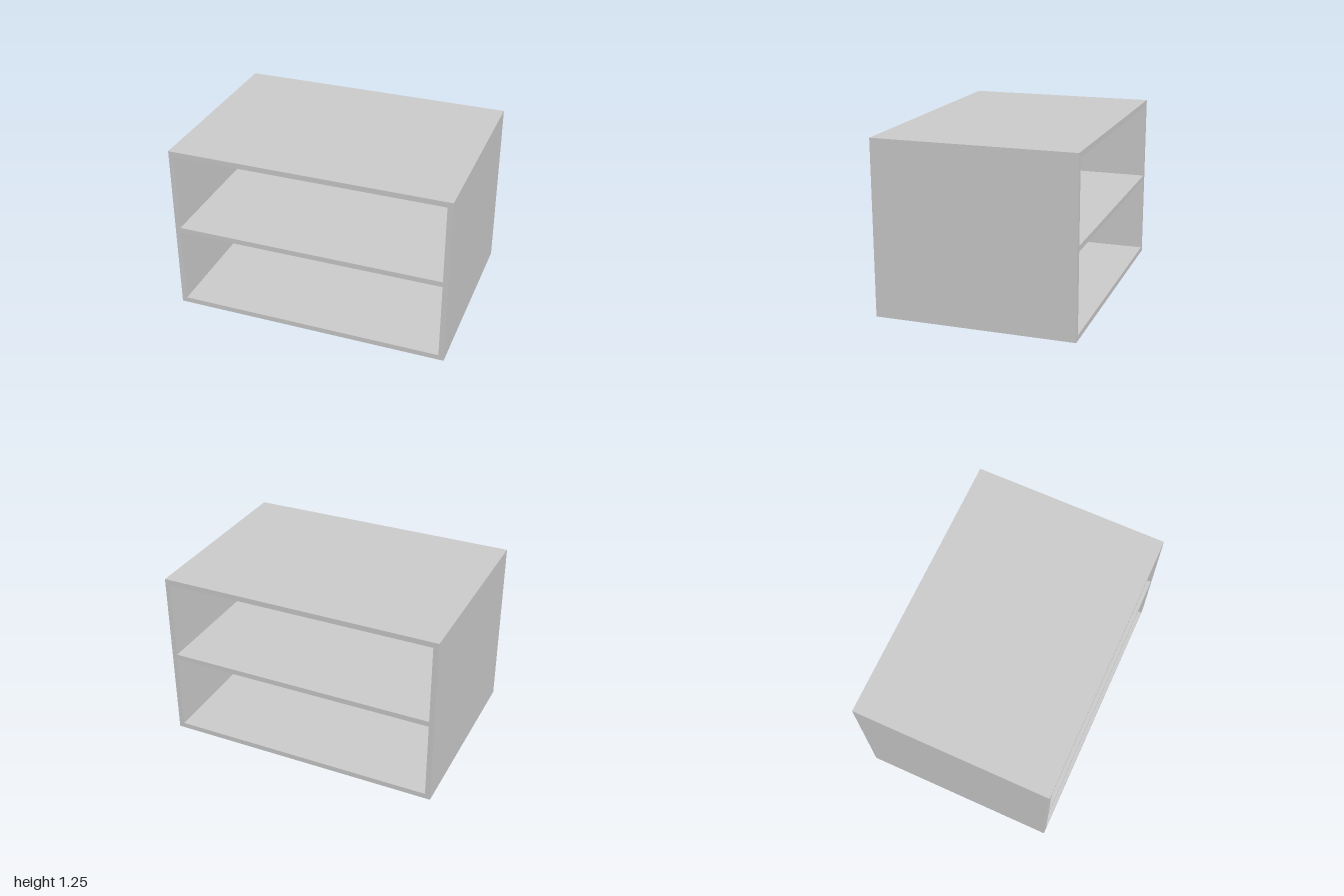
import * as THREE from 'three';

// Overall size and board thickness
const WIDTH = 2, HEIGHT = 1.25, DEPTH = 1.42, BOARD = 0.038;

export function createModel() {
  const group = new THREE.Group();
  group.name = 'openShelfCabinet';
  const material = new THREE.MeshStandardMaterial({ color: 0xcccccc });

  // Adds a full-depth board, with y measured at its underside
  const addBoard = (name, width, height, x, y) => {
    const board = new THREE.Mesh(new THREE.BoxGeometry(width, height, DEPTH), material);
    board.name = name;
    board.position.set(x, y + height / 2, 0);
    group.add(board);
  };

  // Top rests on the two side panels
  const sideHeight = HEIGHT - BOARD;
  addBoard('topPanel', WIDTH, BOARD, 0, sideHeight);
  for (const [name, s] of [['leftPanel', 1], ['rightPanel', -1]]) {
    addBoard(name, BOARD, sideHeight, s * (WIDTH - BOARD) / 2, 0);
  }

  // Bottom and middle shelf fit between the sides; front and back stay open
  const innerWidth = WIDTH - 2 * BOARD;
  addBoard('bottomPanel', innerWidth, BOARD, 0, 0);
  addBoard('middleShelf', innerWidth, BOARD, 0, 0.606);

  return group;
}
